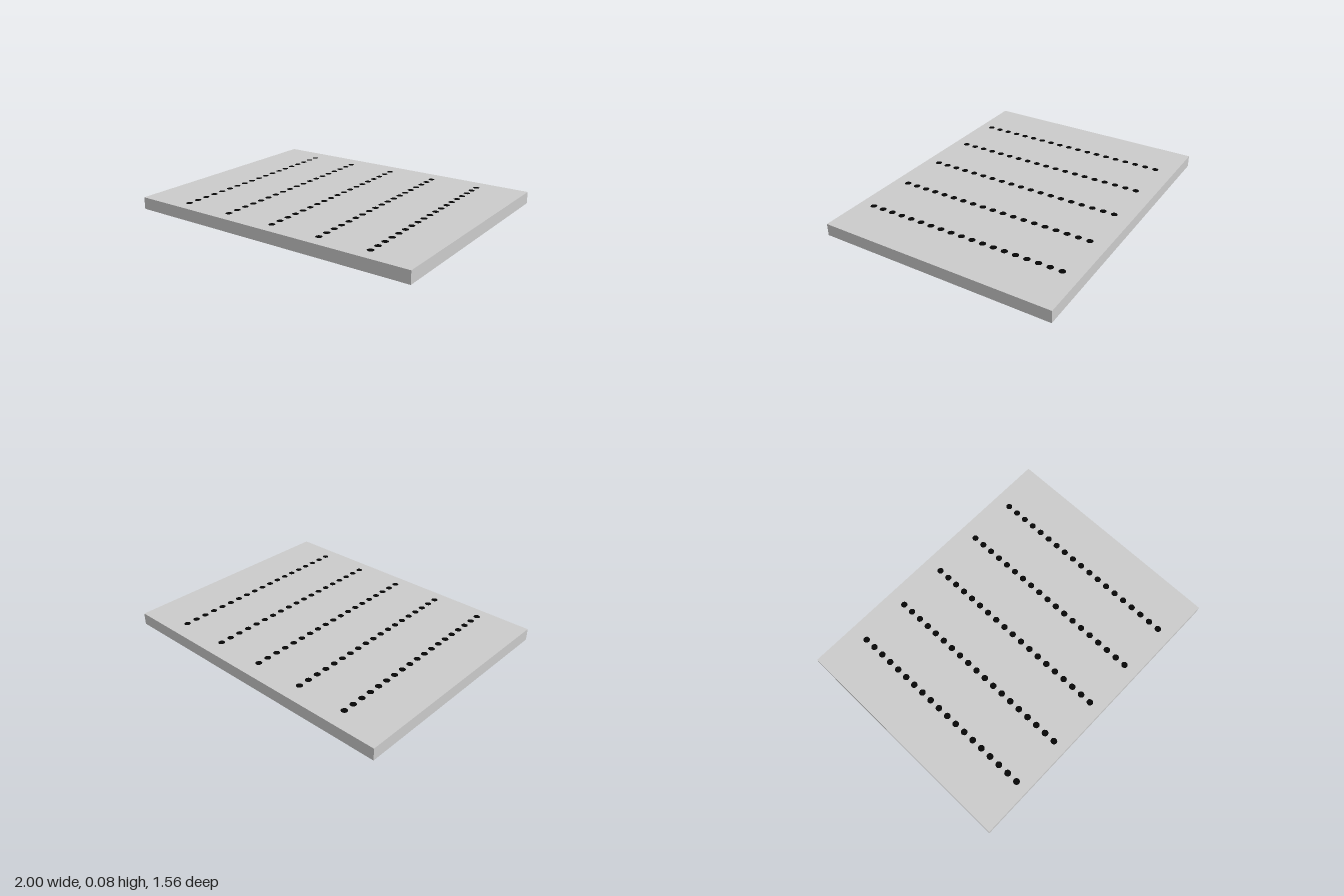
import * as THREE from 'three';

export function createModel() {
  const model = new THREE.Group();
  const width = 2, height = 0.08, depth = 1.56;

  // Flat rectangular slab
  const slab = new THREE.Mesh(
    new THREE.BoxGeometry(width, height, depth),
    new THREE.MeshStandardMaterial({ color: 0xcccccc })
  );
  slab.name = 'slab';
  slab.position.y = height / 2;
  model.add(slab);

  // Five rows of flush dark dots, the whole pattern turned very slightly
  const dots = new THREE.Group();
  dots.name = 'dotRows';
  const dotGeometry = new THREE.CircleGeometry(0.021, 24).rotateX(-Math.PI / 2);
  const dotMaterial = new THREE.MeshStandardMaterial({ color: 0x050505 });
  const columns = 5, rows = 19, columnGap = 0.341, rowGap = 0.0746;
  for (let c = 0; c < columns; c++) {
    const row = new THREE.Group();
    row.name = 'dotRow';
    row.position.x = (c - (columns - 1) / 2) * columnGap;
    for (let r = 0; r < rows; r++) {
      const dot = new THREE.Mesh(dotGeometry, dotMaterial);
      dot.name = 'dot';
      dot.position.z = (r - (rows - 1) / 2) * rowGap;
      row.add(dot);
    }
    dots.add(row);
  }
  dots.position.set(0.005, height + 0.001, 0.014);
  dots.rotation.y = 0.01;
  model.add(dots);

  return model;
}
